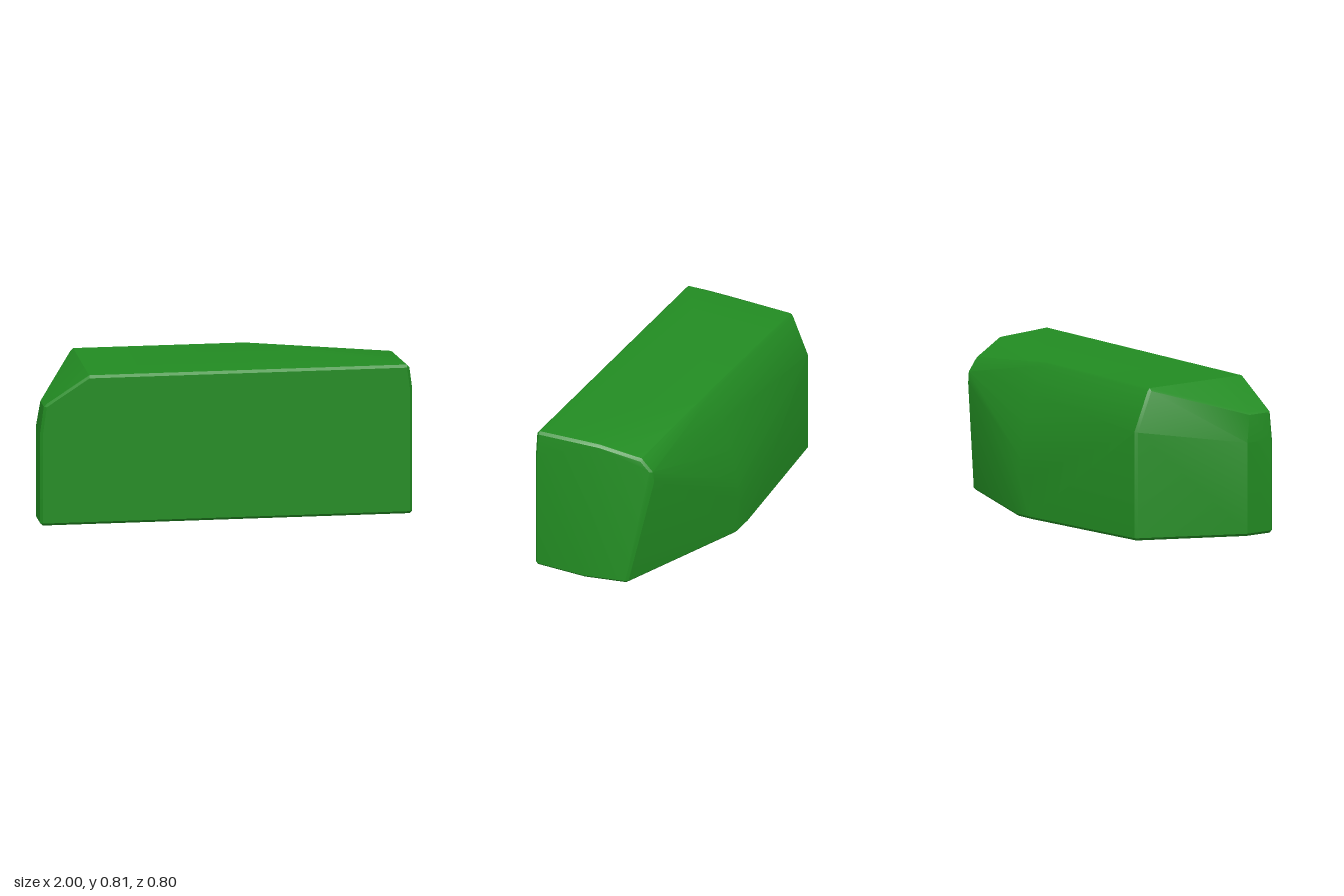
import * as THREE from 'three';
import { ConvexGeometry } from 'three/addons/geometries/ConvexGeometry.js';
import { toCreasedNormals } from 'three/addons/utils/BufferGeometryUtils.js';

const BEVEL = 0.014;
const HEIGHT = 0.815;

// Footprint corners as [x, z]
const footprint = [
  [-1, 0.4], [-1, 0.24], [-0.75, -0.33], [0.1, -0.4],
  [0.22, -0.4], [0.95, -0.13], [1, 0.12], [1, 0.4],
];

// Back ridge: z falls forward as y rises, [y, z]
const backCurve = [[0.18, -0.4], [0.3, -0.39], [0.5, -0.355], [0.67, -0.3], [HEIGHT, -0.235]];

// Upper corners of the block, [x, y, z]
const upperCorners = [
  // chamfered end
  [-1, 0.52, 0.4], [-1, 0.52, 0.24], [-0.98, 0.665, 0.4], [-0.98, 0.665, 0.27],
  [-0.75, HEIGHT, 0.4], [-0.75, HEIGHT, -0.24], [-0.75, 0.6, -0.33],
  // rounded end
  [0.985, HEIGHT, 0.4], [1, 0.7, 0.4], [0.95, 0.808, 0.06],
  [0.87, 0.738, -0.18], [0.862, 0.68, -0.23], [0.86, 0.62, -0.236],
];

// Each corner becomes a tiny octahedron inside it, so the hull gets narrow bevels
function bevelCorner([x, y, z]) {
  const centre = new THREE.Vector3(
    x - Math.sign(x) * BEVEL,
    y - Math.sign(y - HEIGHT / 2) * BEVEL,
    z - Math.sign(z) * BEVEL,
  );
  const points = [];
  for (const s of [-BEVEL, BEVEL]) {
    for (const axis of ['x', 'y', 'z']) {
      const p = centre.clone();
      p[axis] += s;
      points.push(p);
    }
  }
  return points;
}

export function createModel() {
  const corners = [
    ...footprint.map(([x, z]) => [x, 0, z]),
    ...backCurve.map(([y, z]) => [0.2, y, z]),
    ...upperCorners,
  ];
  const hull = new ConvexGeometry(corners.flatMap(bevelCorner));
  const block = new THREE.Mesh(
    toCreasedNormals(hull, 0.4),
    new THREE.MeshStandardMaterial({ color: 0x228b22 }),
  );
  block.name = 'chamferedBlock';

  const group = new THREE.Group();
  group.name = 'block';
  group.add(block);
  return group;
}
